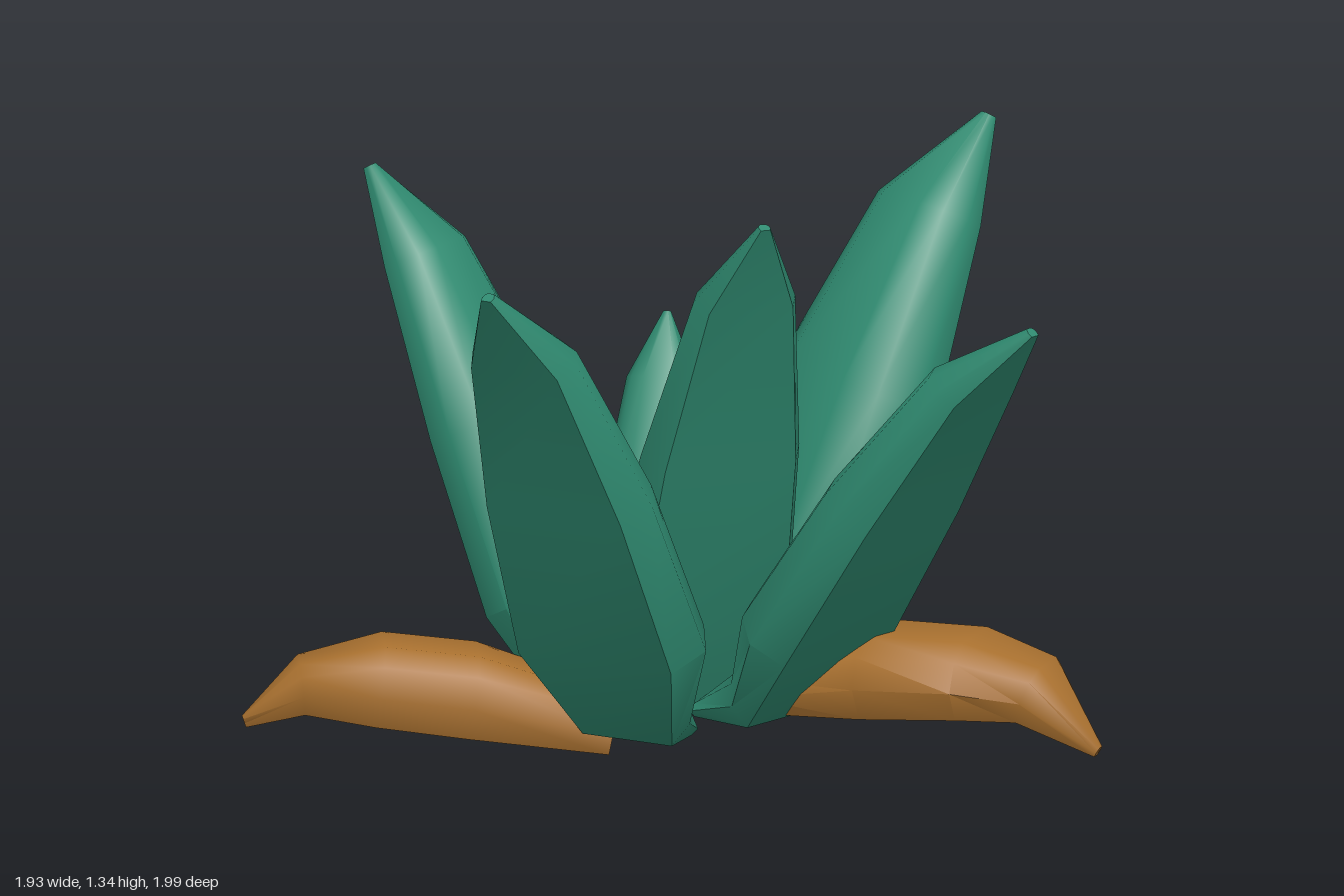
import * as THREE from 'three';
import { toCreasedNormals } from 'three/addons/utils/BufferGeometryUtils.js';

// Leaf cross-section: side (x half width), thickness (x depth); flat outside, rounded inside
const SECTION = [[0.82, 0], [1, 0.42], [0.8, 0.8], [0.45, 1], [-0.45, 1], [-0.8, 0.8], [-1, 0.42], [-0.82, 0]];

// Stations along an upright leaf: reach, rise (fractions of base to tip), half width, depth
const UPRIGHT = [
  [-0.25, -0.01, 0.09, 0.04],
  [0, 0, 0.14, 0.14],
  [0.23, 0.18, 0.24, 0.21],
  [0.52, 0.51, 0.21, 0.19],
  [0.8, 0.83, 0.135, 0.125],
  [1, 1, 0.015, 0.025],
];

// Loft the section along stations [radius, height, halfWidth, depth] from a centre towards a tip
function leafGeometry([cx, cz], [tx, tz], stations) {
  const len = Math.hypot(tx - cx, tz - cz);
  const ux = (tx - cx) / len, uz = (tz - cz) / len;
  const pos = [], idx = [], n = SECTION.length, last = stations.length - 1;
  stations.forEach(([r, y, w, d], j) => {
    const a = stations[Math.max(j - 1, 0)], b = stations[Math.min(j + 1, last)];
    const l = Math.hypot(b[0] - a[0], b[1] - a[1]);
    const tr = (b[0] - a[0]) / l, ty = (b[1] - a[1]) / l;
    for (const [s, k] of SECTION) {
      const rr = r - ty * k * d, yy = y + tr * k * d;
      pos.push(cx + ux * rr - uz * s * w, yy, cz + uz * rr + ux * s * w);
    }
  });
  for (let j = 0; j < last; j++) {
    for (let i = 0; i < n; i++) {
      const a = j * n + i, b = j * n + (i + 1) % n;
      idx.push(a, a + n, b, b, a + n, b + n);
    }
  }
  for (let i = 1; i < n - 1; i++) {
    idx.push(0, i, i + 1, last * n, last * n + i + 1, last * n + i);
  }
  const g = new THREE.BufferGeometry();
  g.setAttribute('position', new THREE.Float32BufferAttribute(pos, 3));
  g.setIndex(idx);
  return toCreasedNormals(g, 1.0);
}

export function createModel() {
  const group = new THREE.Group();
  const green = new THREE.MeshStandardMaterial({ color: 0x2f8a70 });
  const brown = new THREE.MeshStandardMaterial({ color: 0xa8702f });
  const add = (name, material, centre, tip, stations) => {
    const mesh = new THREE.Mesh(leafGeometry(centre, tip, stations), material);
    mesh.name = name;
    group.add(mesh);
  };

  // Upright leaves: centre, tip, base radius, base height, width scale
  const upright = [
    ['frontLeaf', [0, 0.15], [-0.26, 1.21, 0.99], 0.26, 0.06, 1.03],
    ['rightLeaf', [0.02, 0.15], [-0.81, 1.24, -0.09], 0.31, 0.07, 0.97],
    ['backLeaf', [-0.03, 0.14], [0.54, 1.33, -0.55], 0.26, 0.07, 1.15],
    ['leftLeaf', [0.02, 0.1], [0.91, 1.09, 0.53], 0.23, 0.08, 0.96],
    ['innerLeaf', [-0.04, 0.07], [0.28, 1.3, 0.53], 0.09, 0.07, 0.92],
    ['smallInnerLeaf', [-0.1, 0.16], [-0.13, 0.92, -0.19], 0.09, 0.07, 0.6],
  ];
  for (const [name, centre, [x, y, z], r0, y0, s] of upright) {
    const r1 = Math.hypot(x - centre[0], z - centre[1]);
    add(name, green, centre, [x, z], UPRIGHT.map(([r, h, w, d]) =>
      [r0 + (r1 - r0) * r, y0 + (y - y0) * h, w * s, d * s]));
  }

  // Withered leaves arching over the ground
  add('backWitheredLeaf', brown, [-0.03, 0.15], [-0.29, -1], [
    [0.28, 0.05, 0.13, 0.13], [0.52, 0.1, 0.21, 0.2], [0.78, 0.17, 0.19, 0.19],
    [1.0, 0.2, 0.13, 0.11], [1.17, 0.145, 0.015, 0.025]]);
  add('leftWitheredLeaf', brown, [0, 0.05], [0.96, 0.13], [
    [0.17, 0.08, 0.12, 0.1], [0.44, 0.1, 0.19, 0.18], [0.67, 0.115, 0.19, 0.165],
    [0.8, 0.11, 0.135, 0.125], [0.955, 0.02, 0.015, 0.025]]);
  add('rightWitheredLeaf', brown, [0, 0.16], [-0.96, 0.46], [
    [0.18, 0.0, 0.12, 0.12], [0.5, 0.05, 0.17, 0.18], [0.71, 0.08, 0.17, 0.175],
    [0.87, 0.1, 0.11, 0.11], [1.0, 0.055, 0.015, 0.025]]);
  return group;
}
